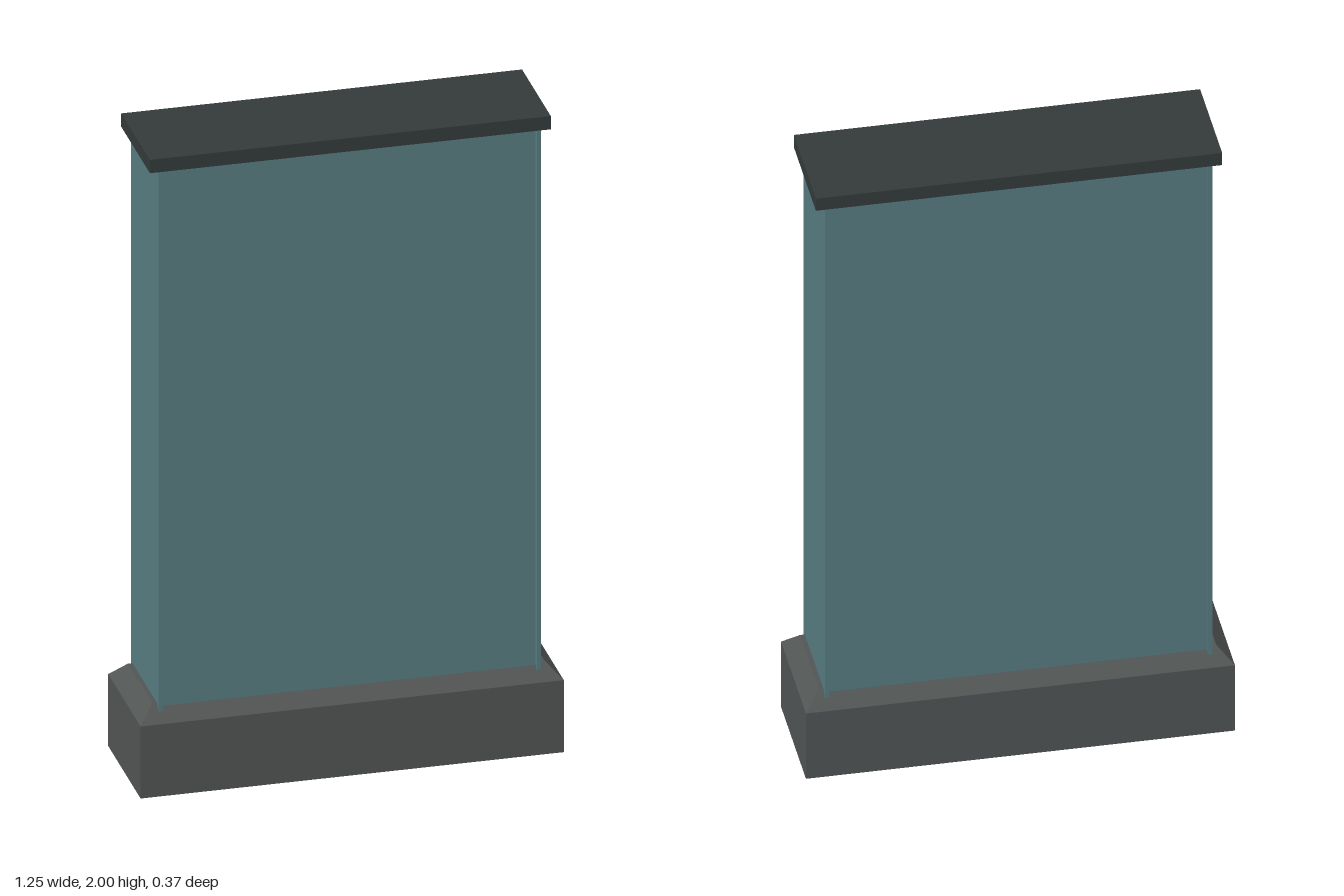
import * as THREE from 'three';

const material = (name, color) => {
  const m = new THREE.MeshStandardMaterial({ color });
  m.name = name;
  return m;
};

export function createModel() {
  const group = new THREE.Group();
  const teal = material('teal panel', 0x587e83);
  const grey = material('grey base', 0x525655);
  const dark = material('dark cap', 0x343b3b);

  // Box from its size, bottom height and x position
  const box = (name, w, h, d, y, mat, x = 0) => {
    const mesh = new THREE.Mesh(new THREE.BoxGeometry(w, h, d), mat);
    mesh.position.set(x, y + h / 2, 0);
    mesh.name = name;
    group.add(mesh);
    return mesh;
  };

  // Plinth with a sloped shoulder
  box('plinth', 1.25, 0.227, 0.368, 0, grey);
  const shoulder = box('plinthShoulder', 1.25, 0.048, 0.368, 0.227, grey);
  const p = shoulder.geometry.attributes.position;
  for (let i = 0; i < p.count; i++) {
    if (p.getY(i) > 0) {
      p.setX(i, Math.sign(p.getX(i)) * 0.579);
      p.setZ(i, Math.sign(p.getZ(i)) * 0.138);
    }
  }
  shoulder.geometry = shoulder.geometry.toNonIndexed();
  shoulder.geometry.computeVertexNormals();

  // Body with slightly proud side slabs
  box('bodyPanel', 1.106, 1.73, 0.292, 0.235, teal);
  for (const [name, s] of [['leftSideSlab', 1], ['rightSideSlab', -1]]) {
    box(name, 0.013, 1.73, 0.315, 0.235, teal, s * 0.5585);
  }

  // Flat cap
  box('cap', 1.184, 0.042, 0.326, 1.958, dark);

  return group;
}
